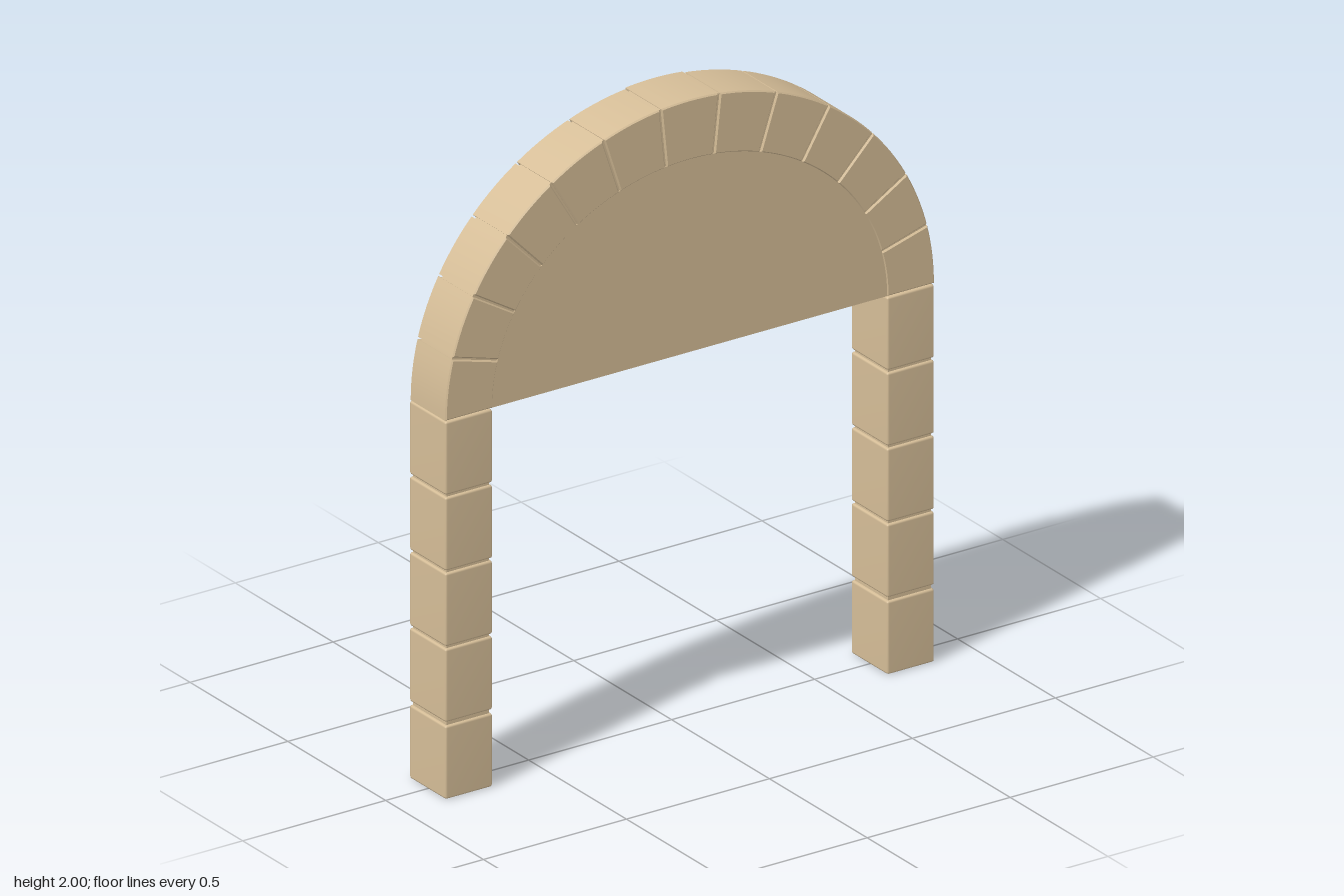
import * as THREE from 'three';
import { mergeVertices, toCreasedNormals } from 'three/addons/utils/BufferGeometryUtils.js';
import { RoundedBoxGeometry } from 'three/addons/geometries/RoundedBoxGeometry.js';

const SPRING = 1.2;                      // height where the arch starts
const OUTER = { x: 0.855, y: 0.8 };      // half-ellipse radii
const INNER = { x: 0.69, y: 0.61 };
const FRONT = 0.095;
const STONES = 13;
const COURSES = 5;

const sandstone = new THREE.MeshStandardMaterial({ color: 0xd6be98 });
sandstone.name = 'sandstone';

// Points along a half-ellipse, optionally shrunk by an inset
function arc(r, a0, a1, steps, inset = 0) {
  return Array.from({ length: steps + 1 }, (_, i) => {
    const a = a0 + (a1 - a0) * i / steps;
    return new THREE.Vector2((r.x - inset) * Math.cos(a), SPRING + (r.y - inset) * Math.sin(a));
  });
}

// Extrude an outline between two depths with an optional small bevel
function slab(name, points, back, front, bevel = 0) {
  const geo = new THREE.ExtrudeGeometry(new THREE.Shape(points), {
    depth: front - back - 2 * bevel, bevelEnabled: bevel > 0, bevelSegments: 1,
    bevelThickness: bevel, bevelSize: bevel, bevelOffset: -bevel,
  });
  geo.translate(0, 0, back + bevel);
  const mesh = new THREE.Mesh(toCreasedNormals(geo, 0.6), sandstone);
  mesh.name = name;
  return mesh;
}

// Block with softly rounded edges and blended normals
function block(name, w, h, d) {
  const geo = new RoundedBoxGeometry(w, h, d, 1, 0.007);
  geo.deleteAttribute('normal');
  geo.deleteAttribute('uv');
  const soft = mergeVertices(geo, 1e-4);
  soft.computeVertexNormals();
  const mesh = new THREE.Mesh(soft, sandstone);
  mesh.name = name;
  return mesh;
}

export function createModel() {
  const model = new THREE.Group();
  model.name = 'stoneArch';

  // Pillars: stacked blocks around a slimmer core that closes the joints
  const pitch = SPRING / COURSES;
  const width = OUTER.x - INNER.x;
  const depth = 0.187;
  for (const side of [-1, 1]) {
    const pillar = new THREE.Group();
    pillar.name = side > 0 ? 'leftPillar' : 'rightPillar';
    pillar.position.set(side * (OUTER.x + INNER.x) / 2, 0, FRONT - depth / 2);
    for (let i = 0; i < COURSES; i++) {
      const stone = block('pillarBlock', width, pitch - 0.008, depth);
      stone.position.y = pitch * (i + 0.5) - (i === 0 ? 0.004 : 0);
      pillar.add(stone);
    }
    const core = new THREE.Mesh(
      new THREE.BoxGeometry(width - 0.016, SPRING - 0.02, depth - 0.016), sandstone);
    core.name = 'pillarCore';
    core.position.y = SPRING / 2;
    pillar.add(core);
    model.add(pillar);
  }

  // Ring of wedge stones; the keystone stands slightly proud at the back
  const arch = new THREE.Group();
  arch.name = 'archRing';
  const step = Math.PI / STONES;
  const gap = 0.004;
  for (let i = 0; i < STONES; i++) {
    const a0 = i * step + (i ? gap : 0);
    const a1 = (i + 1) * step - (i < STONES - 1 ? gap : 0);
    const key = i === (STONES - 1) / 2;
    const outline = [...arc(OUTER, a0, a1, 8), ...arc(INNER, a1, a0, 8)];
    arch.add(slab(key ? 'keystone' : 'archStone', outline, key ? -0.095 : -0.088, FRONT, 0.004));
  }
  // Mortar behind the joints
  const ring = [...arc(OUTER, 0, Math.PI, 104, 0.002), ...arc(INNER, Math.PI, 0, 104, -0.002)];
  arch.add(slab('archMortar', ring, -0.068, FRONT - 0.006));
  model.add(arch);

  // Solid panel filling the half-round opening
  model.add(slab('archPanel', arc(INNER, 0, Math.PI, 104, -0.002), -0.08, FRONT - 0.003));

  return model;
}
